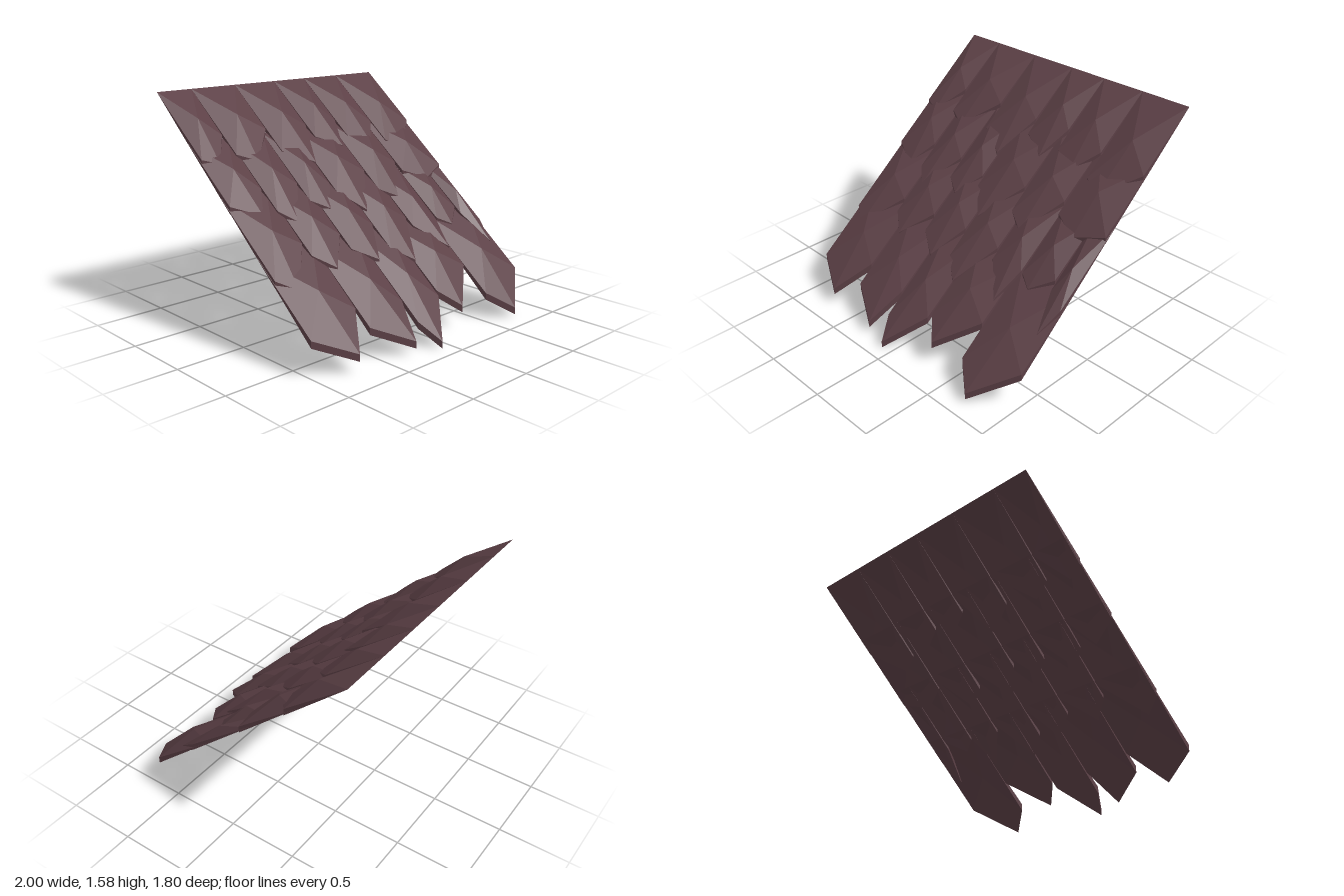
import * as THREE from 'three';

const SLOPE = 0.845;      // fall per unit of depth
const HALF = 0.024;       // half the vertical thickness of the lower edge
const GAP = 0.007;        // half the gap between neighbours at the lower corners
const ROW_DZ = 0.355, ROW_DY = 0.31;

// Each shingle: [right edge x, left corner depth, tip x, tip depth, right corner depth]
const ROWS = [
  [
    [-0.725, 0.50, -0.88, 0.54, 0.36], [-0.353, 0.50, -0.58, 0.56, 0.36],
    [0.006, 0.52, -0.13, 0.63, 0.37], [0.300, 0.46, 0.20, 0.55, 0.36],
    [0.628, 0.48, 0.48, 0.56, 0.41], [1, 0.56, 0.77, 0.62, 0.44],
  ],
  [
    [-0.684, 0.44, -0.80, 0.53, 0.37], [-0.385, 0.52, -0.57, 0.61, 0.38],
    [-0.124, 0.50, -0.26, 0.57, 0.42], [0.248, 0.48, 0.03, 0.63, 0.38],
    [0.586, 0.52, 0.40, 0.60, 0.36], [1, 0.43, 0.78, 0.51, 0.44],
  ],
  [
    [-0.637, 0.53, -0.87, 0.61, 0.37], [-0.309, 0.45, -0.50, 0.55, 0.37],
    [0.004, 0.47, -0.14, 0.57, 0.36], [0.328, 0.53, 0.15, 0.63, 0.37],
    [0.590, 0.43, 0.52, 0.61, 0.42], [0.850, 0.42, 0.70, 0.48, 0.38],
    [1, 0.43, 0.94, 0.65, 0.50],
  ],
  [
    [-0.550, 0.505, -0.73, 0.645, 0.42], [-0.170, 0.54, -0.275, 0.685, 0.46],
    [0.146, 0.595, -0.08, 0.735, 0.50], [0.548, 0.47, 0.28, 0.595, 0.38],
    [1, 0.575, 0.72, 0.71, 0.49],
  ],
];

// Wedge shingle: knife-thin top edge, pointed thick lower end, faces raised to a centre point
function shingleGeometry(xl, xr, [, dl, xt, dt, dr], y0, z0) {
  const gl = xl > -1 ? GAP : 0.004, gr = xr < 1 ? GAP : 0.004;
  const outline = [[xl, 0], [xl + gl, dl], [xt, dt], [xr - gr, dr], [xr, 0]];
  const layer = (offset) => outline.map(([x, d]) =>
    [x, y0 - SLOPE * d + (d ? offset : 0), z0 + d]);
  const top = layer(HALF), bottom = layer(-HALF);
  const cx = outline.reduce((s, p) => s + p[0], 0) / 5;
  const cd = outline.reduce((s, p) => s + p[1], 0) / 5;
  const centre = (lift) => [cx, y0 - SLOPE * cd + lift, z0 + cd];
  const topC = centre(0.075), bottomC = centre(0.04);
  const tris = [];
  for (let i = 0; i < 5; i++) {
    const j = (i + 1) % 5;
    tris.push(topC, top[i], top[j], bottomC, bottom[j], bottom[i]);
    // rim; the thin top edge needs none
    if (i < 4) {
      if (i < 3) tris.push(top[i], bottom[j], top[j]);
      else tris.push(top[i], bottom[i], top[j]);
      if (i > 0 && i < 3) tris.push(top[i], bottom[i], bottom[j]);
    }
  }
  const geo = new THREE.BufferGeometry();
  geo.setAttribute('position', new THREE.Float32BufferAttribute(tris.flat(), 3));
  geo.computeVertexNormals();
  return geo;
}

export function createModel() {
  const model = new THREE.Group();
  model.name = 'shingleRoofPanel';
  const slate = new THREE.MeshStandardMaterial({ color: 0x5c4046 });
  slate.name = 'dark plum slate';

  ROWS.forEach((row, r) => {
    const group = new THREE.Group();
    group.name = `shingleRow${r + 1}`;
    let xl = -1;
    row.forEach((tile, i) => {
      const mesh = new THREE.Mesh(
        shingleGeometry(xl, tile[0], tile, 1.57 - ROW_DY * r, -0.9 + ROW_DZ * r), slate);
      mesh.name = `shingle${i + 1}`;
      group.add(mesh);
      xl = tile[0];
    });
    model.add(group);
  });
  return model;
}
